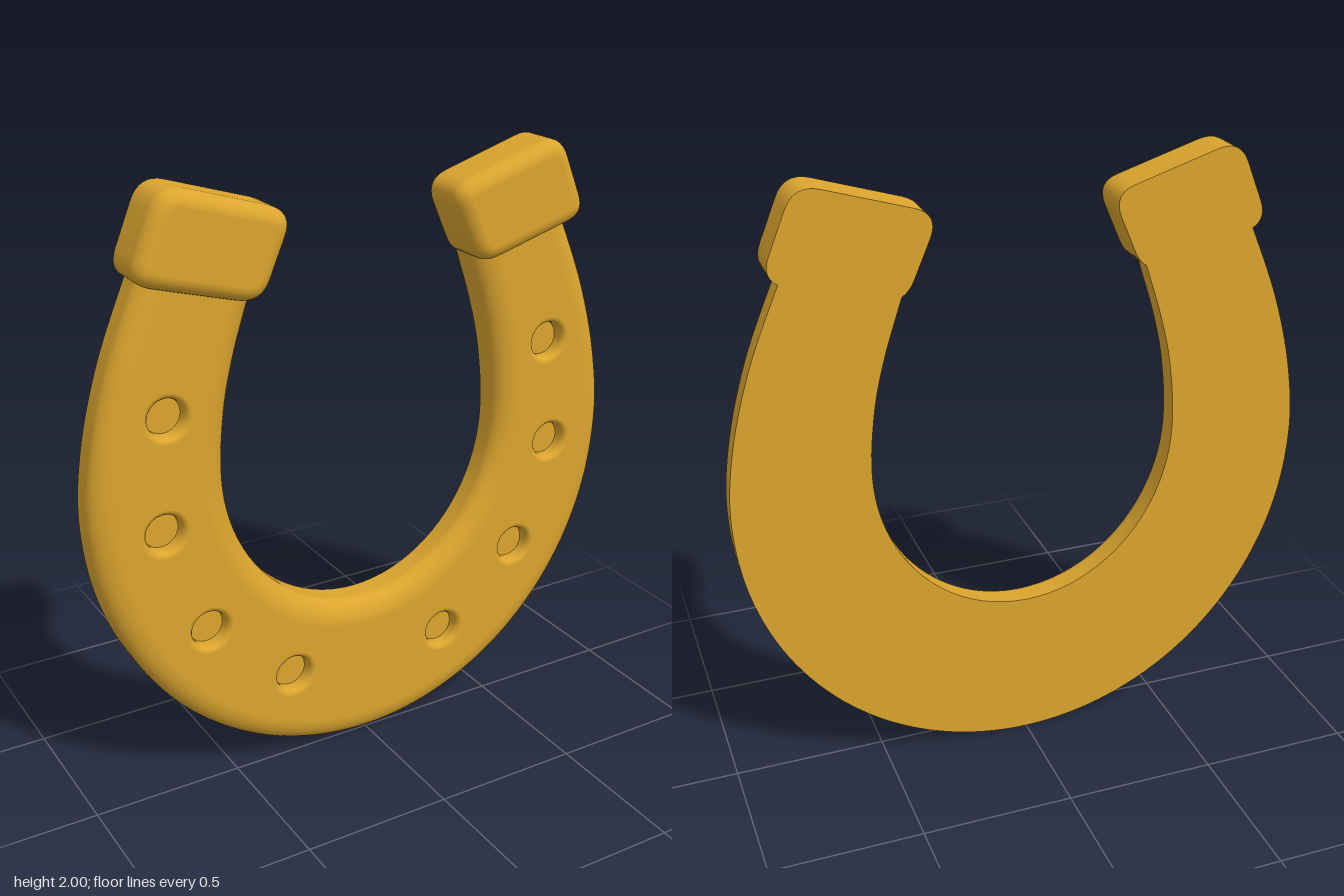
import * as THREE from 'three';

const BACK = -0.085;
const HOLE_R = 0.08, FACE_Z = 0.037;

// Flat plate with a sharp back edge and a rounded front edge; outline runs counter-clockwise
function roundedPlate(name, outline, frontZ, backZ, inset, drop, material, holes = []) {
  const n = outline.length, K = 8;
  const edge = i => outline[(i + 1) % n].clone().sub(outline[i % n]).normalize();
  const normals = outline.map((_, i) => {
    const t = edge(i + n - 1).add(edge(i)).normalize();
    return new THREE.Vector2(t.y, -t.x);
  });
  const insetBy = d => outline.map((p, i) => p.clone().addScaledVector(normals[i], -d));

  const pos = [], nor = [], idx = [];
  const addRing = (d, z, nx, nz) => insetBy(d).forEach((p, i) => {
    pos.push(p.x, p.y, z);
    nor.push(normals[i].x * nx, normals[i].y * nx, nz);
  });
  for (let k = 0; k <= K; k++) {
    const a = k / K * Math.PI / 2, s = Math.sin(a), c = Math.cos(a);
    const len = Math.hypot(s / inset, c / drop);
    addRing(inset * (1 - s), frontZ - drop * (1 - c), s / inset / len, c / drop / len);
  }
  addRing(0, backZ, 1, 0);
  for (let k = 0; k <= K; k++) {
    for (let i = 0; i < n; i++) {
      const j = (i + 1) % n, a = k * n, b = a + n;
      idx.push(a + i, b + i, b + j, a + i, b + j, a + j);
    }
  }
  const side = new THREE.BufferGeometry();
  side.setAttribute('position', new THREE.Float32BufferAttribute(pos, 3));
  side.setAttribute('normal', new THREE.Float32BufferAttribute(nor, 3));
  side.setIndex(idx);

  const frontShape = new THREE.Shape(insetBy(inset));
  frontShape.holes = holes;
  const front = new THREE.ShapeGeometry(frontShape).translate(0, 0, frontZ);
  const back = new THREE.ShapeGeometry(new THREE.Shape(outline)).rotateY(Math.PI);
  back.scale(-1, 1, 1);
  // Mirroring flipped the winding back, so reverse each triangle
  const bi = back.index.array;
  for (let i = 0; i < bi.length; i += 3) [bi[i], bi[i + 1]] = [bi[i + 1], bi[i]];
  back.translate(0, 0, backZ);
  const fixed = new THREE.BufferGeometry();
  fixed.setAttribute('position', back.attributes.position);
  fixed.setIndex(facingBack(back));
  fixed.computeVertexNormals();

  const group = new THREE.Group();
  group.name = name;
  [['Edge', side], ['Front', front], ['Back', fixed]].forEach(([part, geo]) => {
    const mesh = new THREE.Mesh(geo, material);
    mesh.name = name + part;
    group.add(mesh);
  });
  return group;
}

// Index of a planar geometry with every triangle turned towards -z
function facingBack(geo) {
  const p = geo.attributes.position, src = geo.index.array, out = [];
  for (let i = 0; i < src.length; i += 3) {
    const [a, b, c] = [src[i], src[i + 1], src[i + 2]];
    const area = (p.getX(b) - p.getX(a)) * (p.getY(c) - p.getY(a))
      - (p.getX(c) - p.getX(a)) * (p.getY(b) - p.getY(a));
    out.push(...(area > 0 ? [a, c, b] : [a, b, c]));
  }
  return out;
}

// Horseshoe outline: right half, mirrored to the left
function shoeOutline() {
  const half = [];
  for (let i = 0; i <= 6; i++) {
    const a = i / 6 * Math.PI / 2;
    half.push([0.95 * Math.sin(a), 1 - Math.cos(a)]);
  }
  half.push([0.927, 1.22], [0.86, 1.47], [0.757, 1.72], [0.7, 1.84], [0.6, 1.89],
    [0.46, 1.85], [0.36, 1.76], [0.398, 1.63], [0.45, 1.47], [0.488, 1.31]);
  for (let i = 6; i >= 0; i--) {
    const a = i / 6 * Math.PI / 2;
    half.push([0.508 * Math.sin(a), 1.09 - 0.57 * Math.cos(a)]);
  }
  const mirrored = half.slice(1, -1).reverse().map(([x, y]) => [-x, y]);
  const pts = half.concat(mirrored).map(([x, y]) => new THREE.Vector3(x, y, 0));
  const curve = new THREE.CatmullRomCurve3(pts, true, 'centripetal');
  curve.arcLengthDivisions = 800;
  return curve.getSpacedPoints(220).slice(0, -1).map(p => new THREE.Vector2(p.x, p.y));
}

// Four-cornered cap outline with rounded corners
function capOutline() {
  const corners = [[0.385, 1.62], [0.805, 1.74], [0.69, 2.015], [0.27, 1.885]]
    .map(([x, y]) => new THREE.Vector2(x, y));
  const out = [];
  corners.forEach((c, i) => {
    const towards = o => c.clone().add(o.clone().sub(c).setLength(0.08));
    const curve = new THREE.QuadraticBezierCurve(
      towards(corners[(i + 3) % 4]), c, towards(corners[(i + 1) % 4]));
    out.push(...curve.getPoints(8));
  });
  return out;
}

export function createModel() {
  const model = new THREE.Group();
  model.name = 'horseshoe';
  const gold = new THREE.MeshStandardMaterial({ color: 0xdba52e });
  gold.name = 'gold';

  // Nail hole centres on both sides
  const centres = [];
  for (const [x, y] of [[0.695, 1.315], [0.722, 0.945], [0.588, 0.575], [0.293, 0.32]]) {
    centres.push([x, y], [-x, y]);
  }
  const holes = centres.map(([x, y]) => {
    const pts = [];
    for (let i = 0; i < 32; i++) {
      const a = -i / 32 * Math.PI * 2;
      pts.push(new THREE.Vector2(x + HOLE_R * Math.cos(a), y + HOLE_R * Math.sin(a)));
    }
    return new THREE.Path(pts);
  });

  // Curved body
  model.add(roundedPlate('body', shoeOutline(), FACE_Z, BACK + 0.001, 0.085, 0.06, gold, holes));

  // Recessed nail holes: soft rim, steep wall, flat floor
  const profile = [[HOLE_R, 0], [0.074, -0.001], [0.068, -0.005], [0.063, -0.012], [0.06, -0.022], [0.059, -0.045]]
    .map(([r, y]) => new THREE.Vector2(r, y));
  const rimGeo = new THREE.LatheGeometry(profile, 32).rotateX(Math.PI / 2);
  const floorGeo = new THREE.CircleGeometry(0.06, 32);
  centres.forEach(([x, y]) => {
    const hole = new THREE.Group();
    hole.name = 'nailHole';
    const rim = new THREE.Mesh(rimGeo, gold);
    rim.name = 'nailHoleRim';
    const floor = new THREE.Mesh(floorGeo, gold);
    floor.name = 'nailHoleFloor';
    floor.position.z = -0.045;
    hole.add(rim, floor);
    hole.position.set(x, y, FACE_Z);
    model.add(hole);
  });

  // End caps
  const cap = capOutline();
  const mirroredCap = cap.map(p => new THREE.Vector2(-p.x, p.y)).reverse();
  model.add(roundedPlate('leftEndCap', cap, 0.085, BACK, 0.05, 0.05, gold));
  model.add(roundedPlate('rightEndCap', mirroredCap, 0.085, BACK, 0.05, 0.05, gold));
  return model;
}
